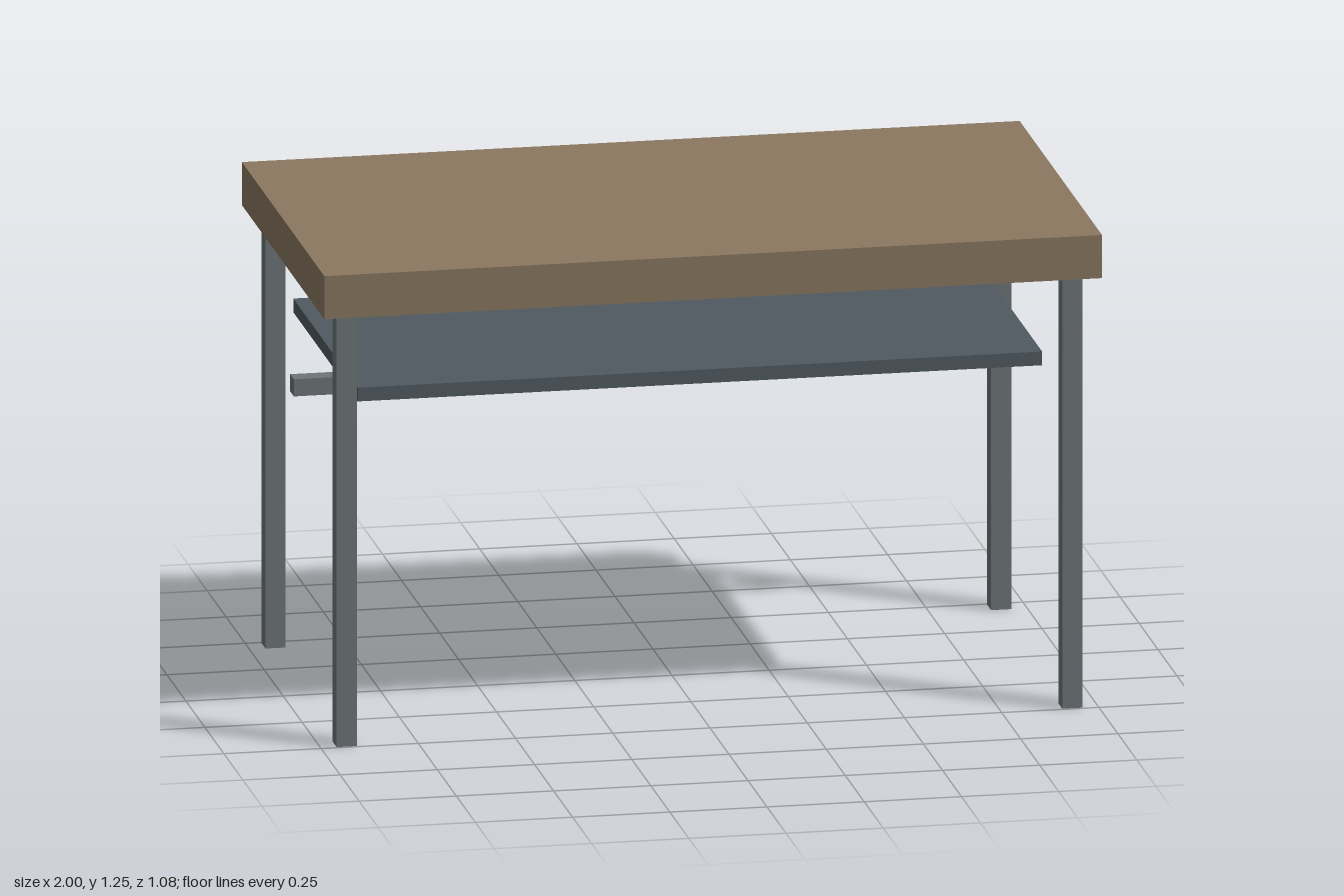
import * as THREE from 'three';

const wood = new THREE.MeshStandardMaterial({ color: 0x8b7860 });
const steel = new THREE.MeshStandardMaterial({ color: 0x6e7677 });
const darkSteel = new THREE.MeshStandardMaterial({ color: 0x505a61 });

// Box given by its extents along each axis
function box(name, material, [x0, x1], [y0, y1], [z0, z1]) {
  const mesh = new THREE.Mesh(new THREE.BoxGeometry(x1 - x0, y1 - y0, z1 - z0), material);
  mesh.position.set((x0 + x1) / 2, (y0 + y1) / 2, (z0 + z1) / 2);
  mesh.name = name;
  return mesh;
}

export function createModel() {
  const table = new THREE.Group();
  table.name = 'table';

  // Thick wooden top
  table.add(box('tableTop', wood, [-1, 1], [1.137, 1.25], [-0.542, 0.542]));

  // Four square legs, set in from the corners
  const legSize = 0.052;
  for (const [side, sx] of [['Left', 1], ['Right', -1]]) {
    for (const [end, sz] of [['front', 1], ['back', -1]]) {
      const x = sx * 0.933, z = sz * 0.468, h = legSize / 2;
      table.add(box(`${end}${side}Leg`, steel, [x - h, x + h], [0, 1.137], [z - h, z + h]));
    }
  }

  // Shelf under the top, pushed towards the back
  table.add(box('shelf', darkSteel, [-0.88, 0.88], [0.867, 0.903], [-0.48, 0.368]));

  // Rail between the back legs
  table.add(box('backRail', steel, [-0.89, 0.89], [0.663, 0.708], [-0.47, -0.421]));

  return table;
}
